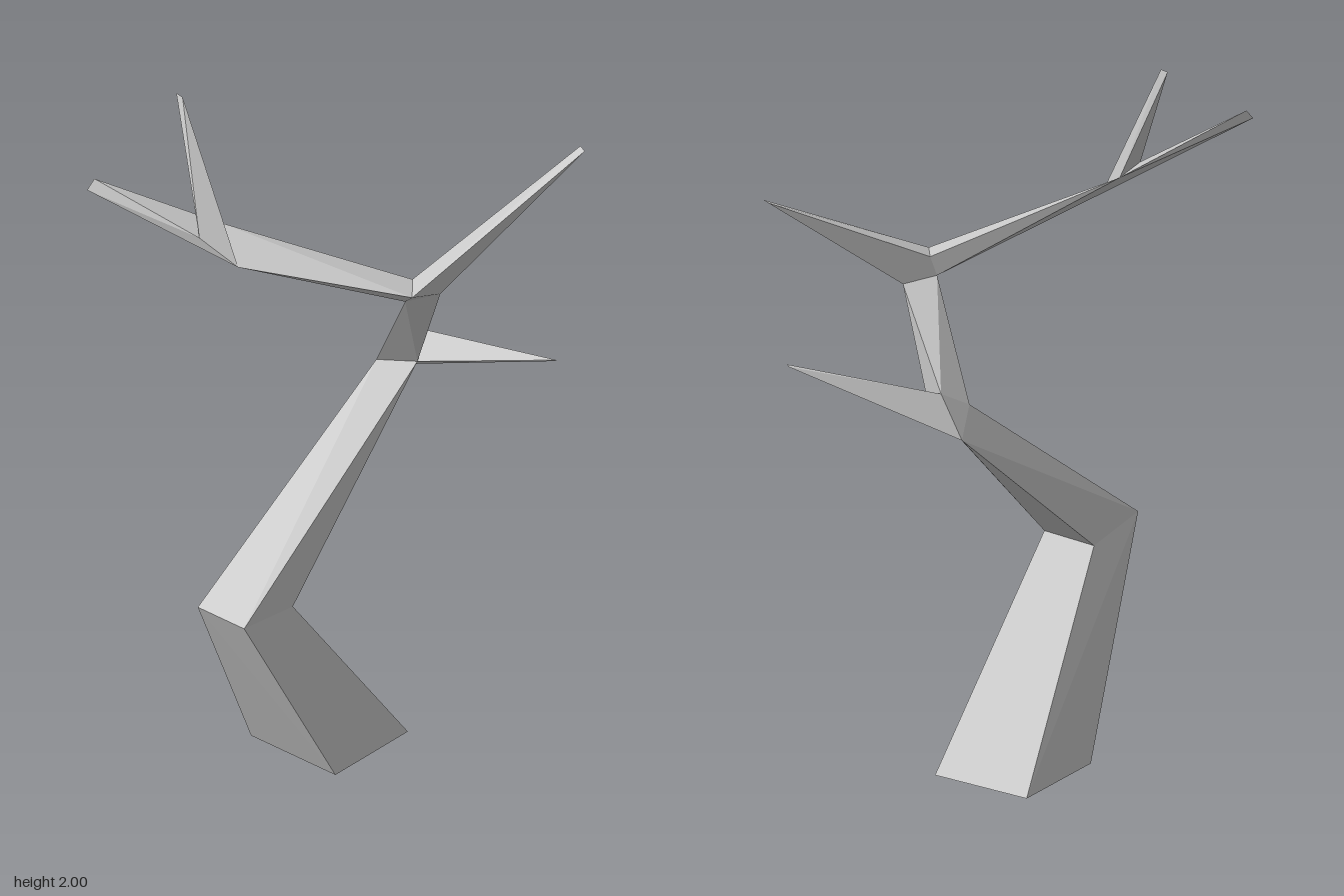
import * as THREE from 'three';
import { ConvexGeometry } from 'three/addons/geometries/ConvexGeometry.js';

// Joint corners shared by neighbouring limbs, so the facets meet exactly
const foot = [[-0.09, 0.03, 0.17], [0.16, 0, 0], [0, 0.01, -0.255], [-0.24, 0.01, -0.09]];
const knee = [[-0.365, 0.615, 0.255], [-0.2, 0.58, 0.15], [-0.29, 0.575, 0.02], [-0.45, 0.61, 0.12]];
const elbow = {
  front: [0.22, 1.1, -0.11], left: [0.12, 1.1, -0.15],
  under: [0.165, 1.03, -0.215], back: [0.215, 1.16, -0.193],
};
const fork = {
  front: [0.145, 1.455, 0.087], right: [0.245, 1.395, 0.012],
  back: [0.168, 1.46, 0.015], left: [0.145, 1.4, 0.025],
};
const crook = { low: [-0.3, 1.58, -0.01], back: [-0.315, 1.66, -0.105], end: [-0.395, 1.67, -0.045] };

export function createModel() {
  const tree = new THREE.Group();
  tree.name = 'bareTree';
  const bark = new THREE.MeshStandardMaterial({ color: 0xcccccc, flatShading: true });

  // A faceted limb is the hull of its end corners
  const limb = (name, ...corners) => {
    const mesh = new THREE.Mesh(new ConvexGeometry(corners.map((p) => new THREE.Vector3(...p))), bark);
    mesh.name = name;
    tree.add(mesh);
  };

  // Trunk: square foot, leaning back and forth, narrowing to a wedge
  limb('lowerTrunk', ...foot, ...knee);
  limb('middleTrunk', ...knee, elbow.front, elbow.left, elbow.under);
  limb('trunkElbow', ...Object.values(elbow));
  limb('upperTrunk', elbow.front, elbow.left, elbow.back, fork.right, fork.left);
  limb('trunkFork', ...Object.values(fork));

  // Branches and pointed twigs
  limb('lowTwig', elbow.front, elbow.back, elbow.under, [0.537, 1.178, 0.095], [0.533, 1.172, 0.09]);
  limb('leftBranch', fork.front, fork.right, fork.back, [0.66, 1.72, -0.055], [0.655, 1.72, -0.08]);
  limb('rightBranch', fork.front, fork.back, fork.left, crook.low, crook.back);
  limb('rightBranchTip', ...Object.values(crook), [-0.665, 1.8, -0.163], [-0.643, 1.827, -0.17]);
  limb('uprightTwig', ...Object.values(crook), [-0.397, 2, -0.243], [-0.387, 2, -0.22]);

  return tree;
}
